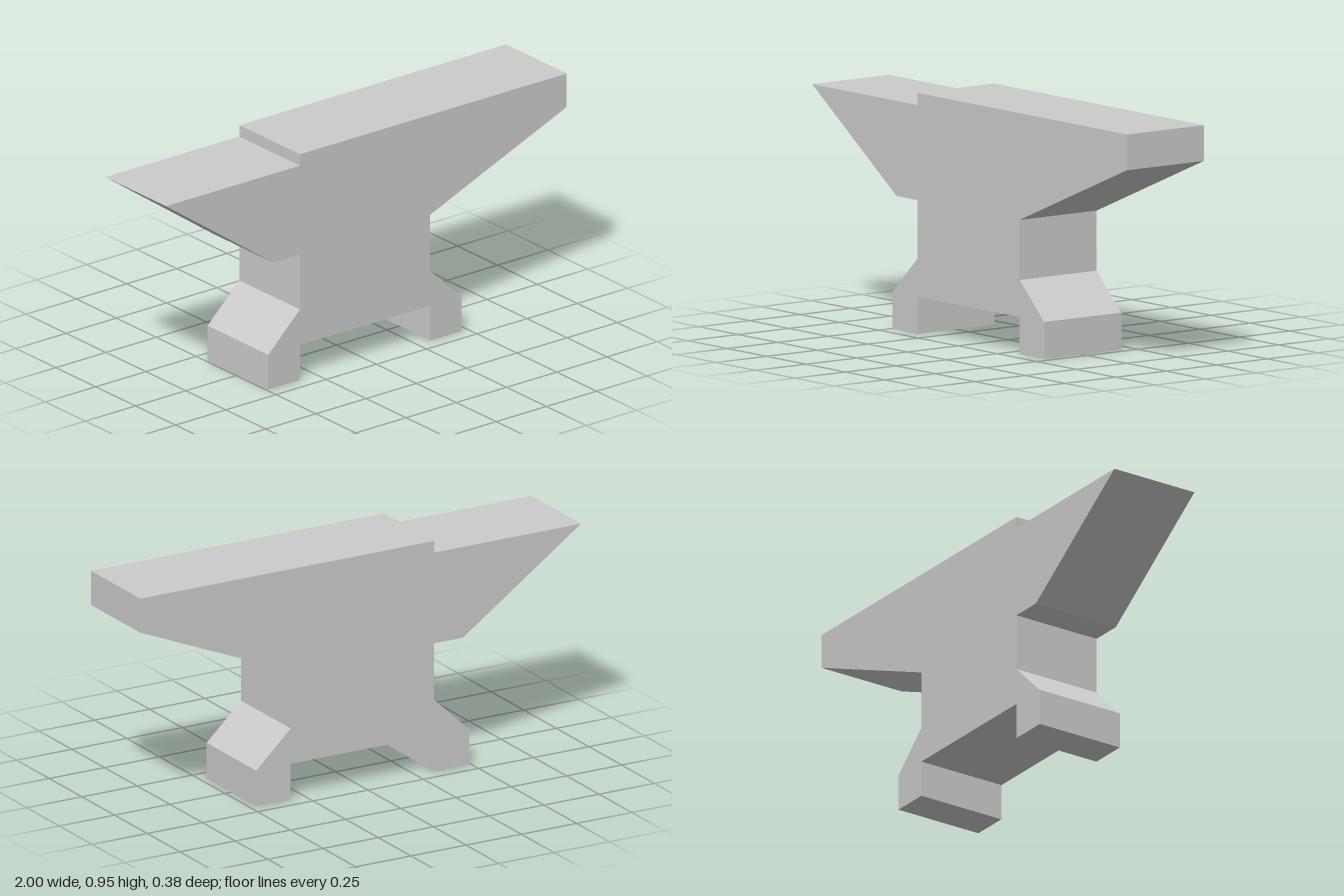
import * as THREE from 'three';

const DEPTH = 0.38;
const material = new THREE.MeshStandardMaterial({ color: 0xcccccc, flatShading: true });

export function createModel() {
  const anvil = new THREE.Group();
  anvil.name = 'anvil';

  // Body: side silhouette with horn (-x), step, face, heel (+x), waist and flared base
  const outline = [
    [-0.49, 0.147], [0.47, 0.147], [0.315, 0.293], [0.315, 0.53],
    [0.995, 0.81], [0.995, 0.951], [-0.333, 0.951], [-0.333, 0.903],
    [-1, 0.903], [-0.465, 0.528], [-0.333, 0.528], [-0.333, 0.297],
  ].map(([x, y]) => new THREE.Vector2(x, y));
  const bodyGeometry = new THREE.ExtrudeGeometry(new THREE.Shape(outline), {
    depth: DEPTH,
    bevelEnabled: false,
  });
  bodyGeometry.translate(0, 0, -DEPTH / 2);
  const body = new THREE.Mesh(bodyGeometry, material);
  body.name = 'body';
  anvil.add(body);

  // Feet: a full-depth block under each end of the base
  const feet = [['rightFoot', -0.492, -0.333], ['leftFoot', 0.315, 0.472]];
  for (const [name, x0, x1] of feet) {
    const foot = new THREE.Mesh(new THREE.BoxGeometry(x1 - x0, 0.147, DEPTH), material);
    foot.name = name;
    foot.position.set((x0 + x1) / 2, 0.0735, 0);
    anvil.add(foot);
  }

  return anvil;
}
